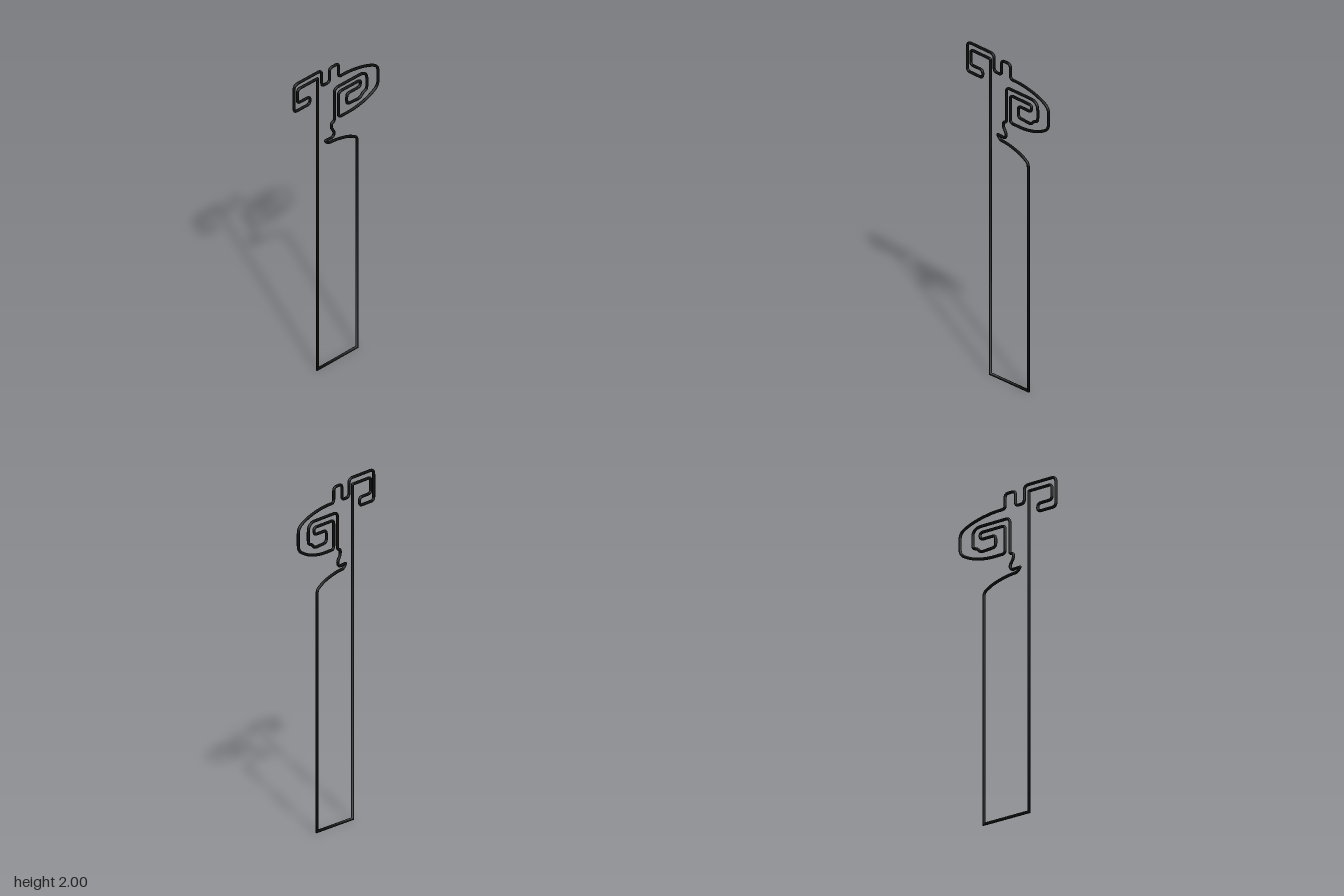
import * as THREE from 'three';

const RADIUS = 0.0085;
const SIDES = 12;

// Wire corners as [z, y, fillet], following the closed loop once round
const R = 0.022;
const corners = [
  [0.139, 0.0085, 0],
  // long front edge, then the small hook at the top
  [0.139, 1.951, 0.004], [0.293, 1.951, R], [0.293, 1.859, R], [0.198, 1.859, R],
  [0.198, 1.811, R], [0.319, 1.811, R], [0.319, 1.991, 0.03], [0.108, 1.991, 0.03],
  // notch and peg
  [0.108, 1.885, R], [0.049, 1.885, R], [0.049, 1.975, R], [-0.02, 1.975, R], [-0.02, 1.885, R],
  // outside of the large scroll
  [-0.1, 1.885, 0.05], [-0.2, 1.868, 0.05], [-0.28, 1.84, 0.04], [-0.321, 1.81, 0.03],
  [-0.321, 1.683, 0.035], [-0.24, 1.638, 0.06], [-0.14, 1.615, 0.05], [-0.02, 1.615, R],
  // inside of the scroll
  [-0.02, 1.784, R], [-0.189, 1.784, R], [-0.185, 1.742, R], [-0.083, 1.742, R],
  [-0.083, 1.672, R], [-0.184, 1.666, R], [-0.206, 1.693, 0.015], [-0.236, 1.701, 0.02],
  [-0.236, 1.796, 0.025], [-0.206, 1.822, 0.025], [0.012, 1.822, 0.03],
  // wavy neck and barb
  [0.012, 1.607, 0.01], [0.035, 1.599, 0.01], [0.035, 1.57, 0.015], [0.01, 1.53, 0.02],
  [0.023, 1.504, 0.015], [0.081, 1.507, 0.004], [0.061, 1.481, 0.015],
  // sloping shoulder and back edge
  [-0.005, 1.476, 0.03], [-0.1, 1.452, 0.04], [-0.161, 1.416, 0.02], [-0.161, 0.013, 0],
];

// Round each corner with a short quadratic curve
function roundedLoop() {
  const pts = [];
  const n = corners.length;
  const at = (i) => new THREE.Vector2(...corners[(i + n) % n].slice(0, 2));
  for (let i = 0; i < n; i++) {
    const p = at(i), prev = at(i - 1), next = at(i + 1);
    const fillet = corners[i][2];
    if (!fillet) { pts.push(p); continue; }
    const ends = [prev, next].map((q) => {
      const length = p.distanceTo(q);
      return p.clone().lerp(q, Math.min(fillet, length * 0.45) / length);
    });
    pts.push(...new THREE.QuadraticBezierCurve(ends[0], p, ends[1]).getPoints(6));
  }
  return pts;
}

// Sweep a circle round the loop, mitring every joint
function wireGeometry(pts) {
  const n = pts.length;
  const positions = [], normals = [], index = [];
  for (let i = 0; i < n; i++) {
    const p = pts[i];
    const a = p.clone().sub(pts[(i + n - 1) % n]).normalize();
    const b = pts[(i + 1) % n].clone().sub(p).normalize();
    const t = a.clone().add(b).normalize();
    const out = new THREE.Vector2(t.y, -t.x);
    const mitre = Math.min(1 / Math.max(t.dot(b), 0.01), 1.5);
    for (let j = 0; j < SIDES; j++) {
      const angle = (j / SIDES) * Math.PI * 2;
      const c = Math.cos(angle), s = Math.sin(angle);
      const w = c * RADIUS * mitre;
      // the loop leans very slightly sideways along its depth
      positions.push(s * RADIUS + p.x * 0.004 - 0.0005, p.y + out.y * w, p.x + out.x * w);
      normals.push(s, out.y * c, out.x * c);
      const k = (j + 1) % SIDES, m = (i + 1) % n;
      const v00 = i * SIDES + j, v01 = i * SIDES + k;
      const v10 = m * SIDES + j, v11 = m * SIDES + k;
      index.push(v00, v01, v11, v00, v11, v10);
    }
  }
  const geometry = new THREE.BufferGeometry();
  geometry.setAttribute('position', new THREE.Float32BufferAttribute(positions, 3));
  geometry.setAttribute('normal', new THREE.Float32BufferAttribute(normals, 3));
  geometry.setIndex(index);
  return geometry;
}

export function createModel() {
  const group = new THREE.Group();
  group.name = 'wireOutline';
  const material = new THREE.MeshStandardMaterial({ color: 0x0d0d0d });
  const wire = new THREE.Mesh(wireGeometry(roundedLoop()), material);
  wire.name = 'bentWire';
  group.add(wire);
  return group;
}
